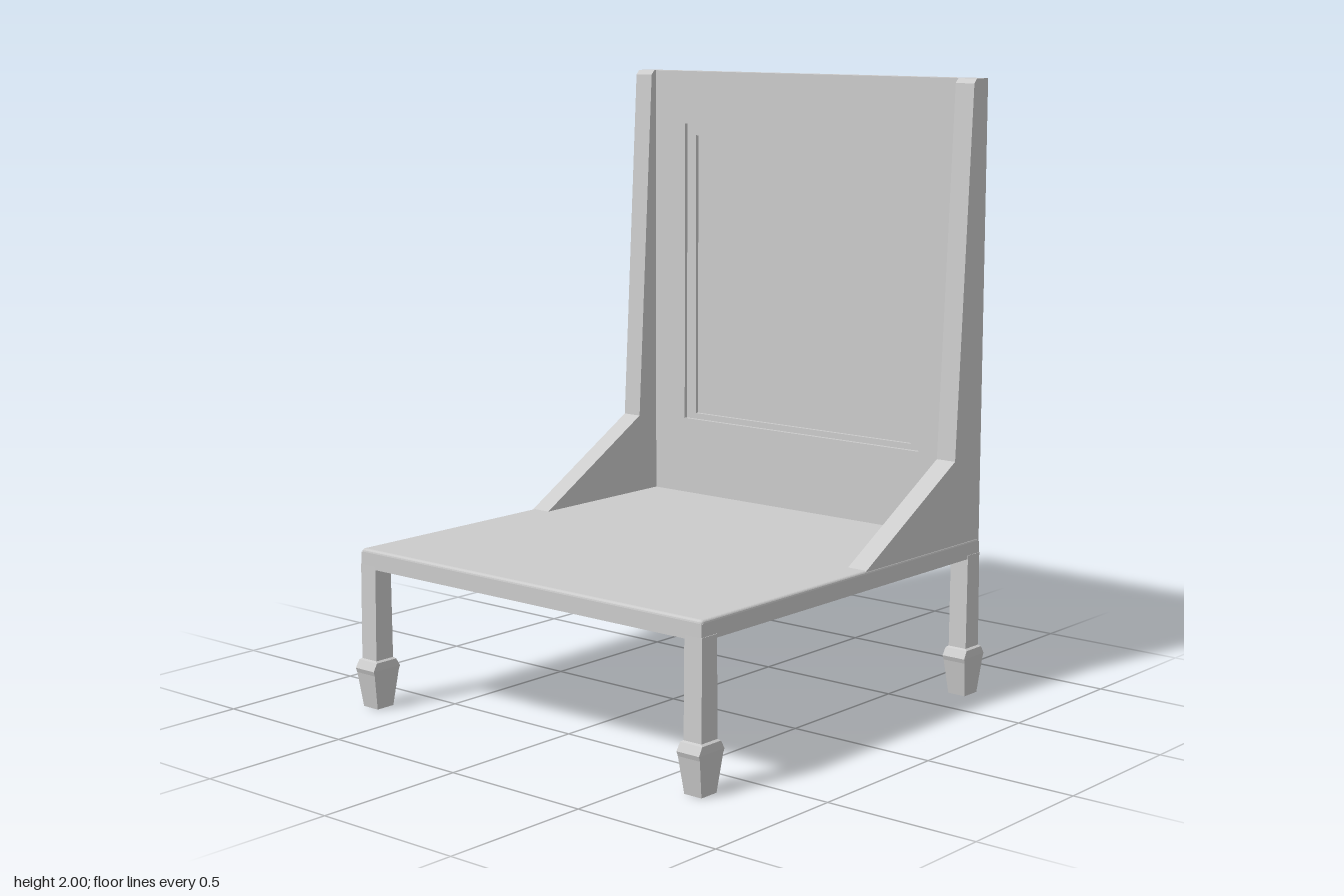
import * as THREE from 'three';
import { RoundedBoxGeometry } from 'three/addons/geometries/RoundedBoxGeometry.js';

const material = new THREE.MeshStandardMaterial({ color: 0xcccccc, flatShading: true });

function add(parent, name, geometry) {
  const mesh = new THREE.Mesh(geometry, material);
  mesh.name = name;
  parent.add(mesh);
  return mesh;
}

function rectPoints(x0, x1, y0, y1) {
  return [[x0, y0], [x1, y0], [x1, y1], [x0, y1]].map(([x, y]) => new THREE.Vector2(x, y));
}

// Rectangular plate with a rectangular opening
function framePlate(outer, inner, depth) {
  const shape = new THREE.Shape(rectPoints(...outer));
  shape.holes.push(new THREE.Path(rectPoints(...inner)));
  return new THREE.ExtrudeGeometry(shape, { depth, bevelEnabled: false });
}

// Four-sided leg lofted through [y, half width x, half width z] sections
function legGeometry(sections) {
  const positions = [], index = [];
  for (const [y, hx, hz] of sections) {
    positions.push(-hx, y, hz, hx, y, hz, hx, y, -hz, -hx, y, -hz);
  }
  for (let s = 0; s < sections.length - 1; s++) {
    for (let i = 0; i < 4; i++) {
      const a = s * 4 + i, b = s * 4 + (i + 1) % 4;
      index.push(a, b, b + 4, a, b + 4, a + 4);
    }
  }
  const t = (sections.length - 1) * 4;
  index.push(0, 3, 2, 0, 2, 1, t, t + 1, t + 2, t, t + 2, t + 3);
  const geometry = new THREE.BufferGeometry();
  geometry.setAttribute('position', new THREE.Float32BufferAttribute(positions, 3));
  geometry.setIndex(index);
  const flat = geometry.toNonIndexed();
  flat.computeVertexNormals();
  return flat;
}

export function createModel() {
  const chair = new THREE.Group();
  chair.name = 'chair';

  // Seat slab with a rim hanging below it
  const seat = new THREE.Group();
  seat.name = 'seat';
  chair.add(seat);
  add(seat, 'seatSlab', new RoundedBoxGeometry(1.41, 0.03, 1.41, 2, 0.01)).position.y = 0.505;
  const rim = framePlate([-0.705, 0.705, -0.705, 0.705], [-0.64, 0.64, -0.64, 0.64], 0.05);
  add(seat, 'seatRim', rim.rotateX(-Math.PI / 2)).position.y = 0.458;

  // Legs with flared feet
  const leg = legGeometry([
    [0, 0.032, 0.034], [0.115, 0.041, 0.052], [0.13, 0.042, 0.057],
    [0.155, 0.041, 0.042], [0.16, 0.033, 0.036], [0.47, 0.033, 0.033],
  ]);
  for (const x of [-0.674, 0.674]) {
    for (const z of [-0.672, 0.672]) {
      const name = (z > 0 ? 'front' : 'back') + (x > 0 ? 'LeftLeg' : 'RightLeg');
      add(chair, name, leg).position.set(x, 0, z);
    }
  }

  // Backrest: solid board behind two stepped frames
  const back = new THREE.Group();
  back.name = 'backrest';
  chair.add(back);
  const board = new THREE.BoxGeometry(1.4, 1.51, 0.03);
  add(back, 'backBoard', board).position.set(0, 1.245, -0.69);
  const outline = [-0.69, 0.69, 0.49, 2];
  add(back, 'innerFrame', framePlate(outline, [-0.46, 0.46, 0.805, 1.78], 0.013)).position.z = -0.676;
  add(back, 'outerFrame', framePlate(outline, [-0.5, 0.5, 0.785, 1.82], 0.013)).position.z = -0.663;

  // Side posts that sweep forward into low arm brackets; profile in (z, y)
  const profile = [
    [-0.705, 0.5], [-0.05, 0.5], [-0.09, 0.522], [-0.56, 0.79],
    [-0.628, 1.985], [-0.642, 2], [-0.705, 2],
  ].map(([z, y]) => new THREE.Vector2(z, y));
  const post = new THREE.ExtrudeGeometry(new THREE.Shape(profile), { depth: 0.07, bevelEnabled: false });
  post.rotateY(-Math.PI / 2).translate(0.035, 0, 0);
  add(chair, 'leftPost', post).position.x = 0.668;
  add(chair, 'rightPost', post).position.x = -0.668;

  return chair;
}
